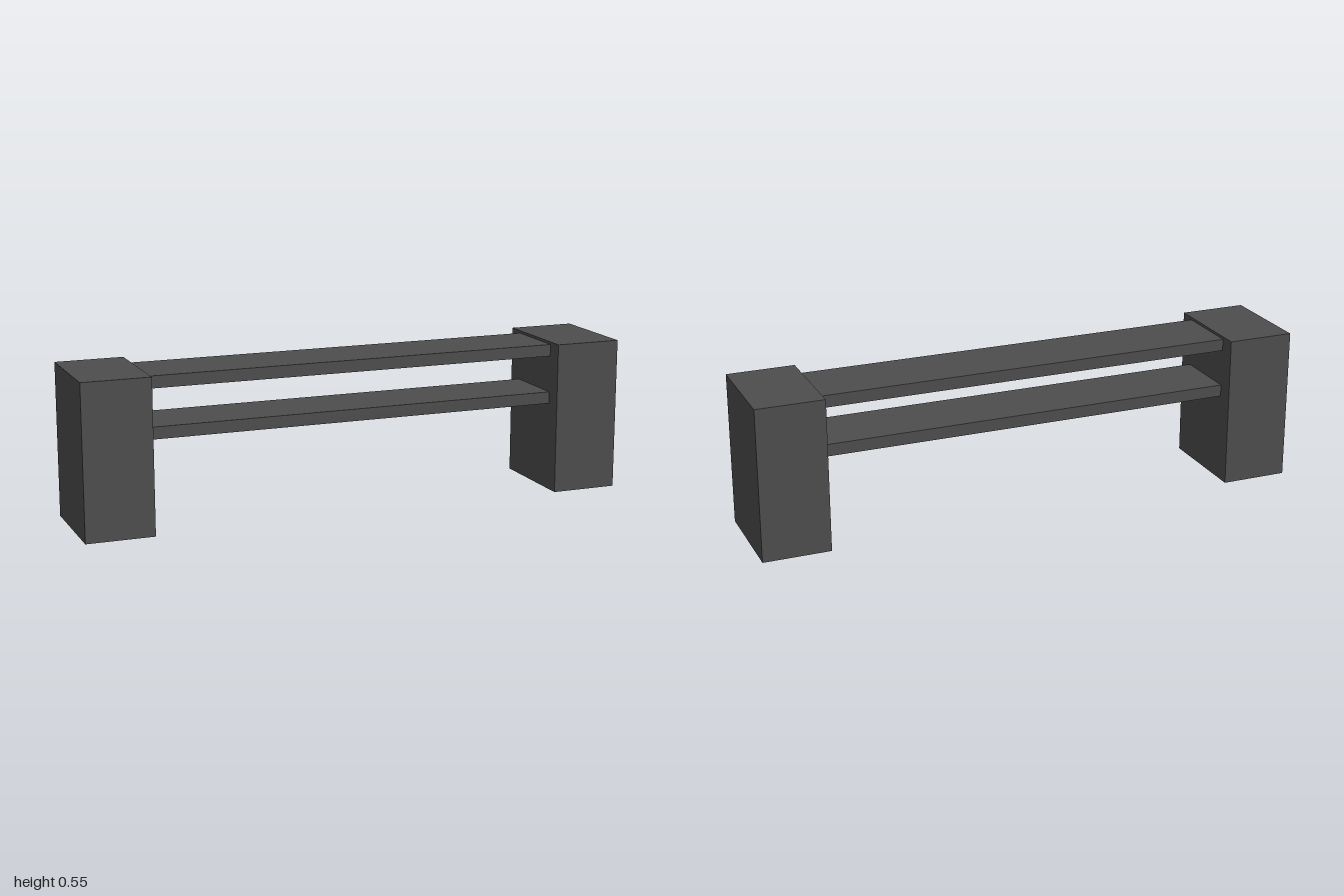
import * as THREE from 'three';

export function createModel() {
  const model = new THREE.Group();
  model.name = 'consoleBench';

  const charcoal = new THREE.MeshStandardMaterial({ color: 0x4d4d4d });
  charcoal.name = 'charcoal';

  const addBox = (name, [w, h, d], [x, y, z]) => {
    const mesh = new THREE.Mesh(new THREE.BoxGeometry(w, h, d), charcoal);
    mesh.name = name;
    mesh.position.set(x, y, z);
    model.add(mesh);
  };

  // Solid end blocks standing on the floor
  const height = 0.55, blockWidth = 0.243, blockDepth = 0.366;
  for (const [name, side] of [['leftBlock', 1], ['rightBlock', -1]]) {
    addBox(name, [blockWidth, height, blockDepth], [side * (1 - blockWidth / 2), height / 2, 0]);
  }

  // Two thin shelves spanning between the blocks
  const span = 2 - 2 * blockWidth;
  for (const [name, y] of [['upperShelf', 0.519], ['lowerShelf', 0.343]]) {
    addBox(name, [span, 0.043, 0.244], [0, y, 0]);
  }

  return model;
}
